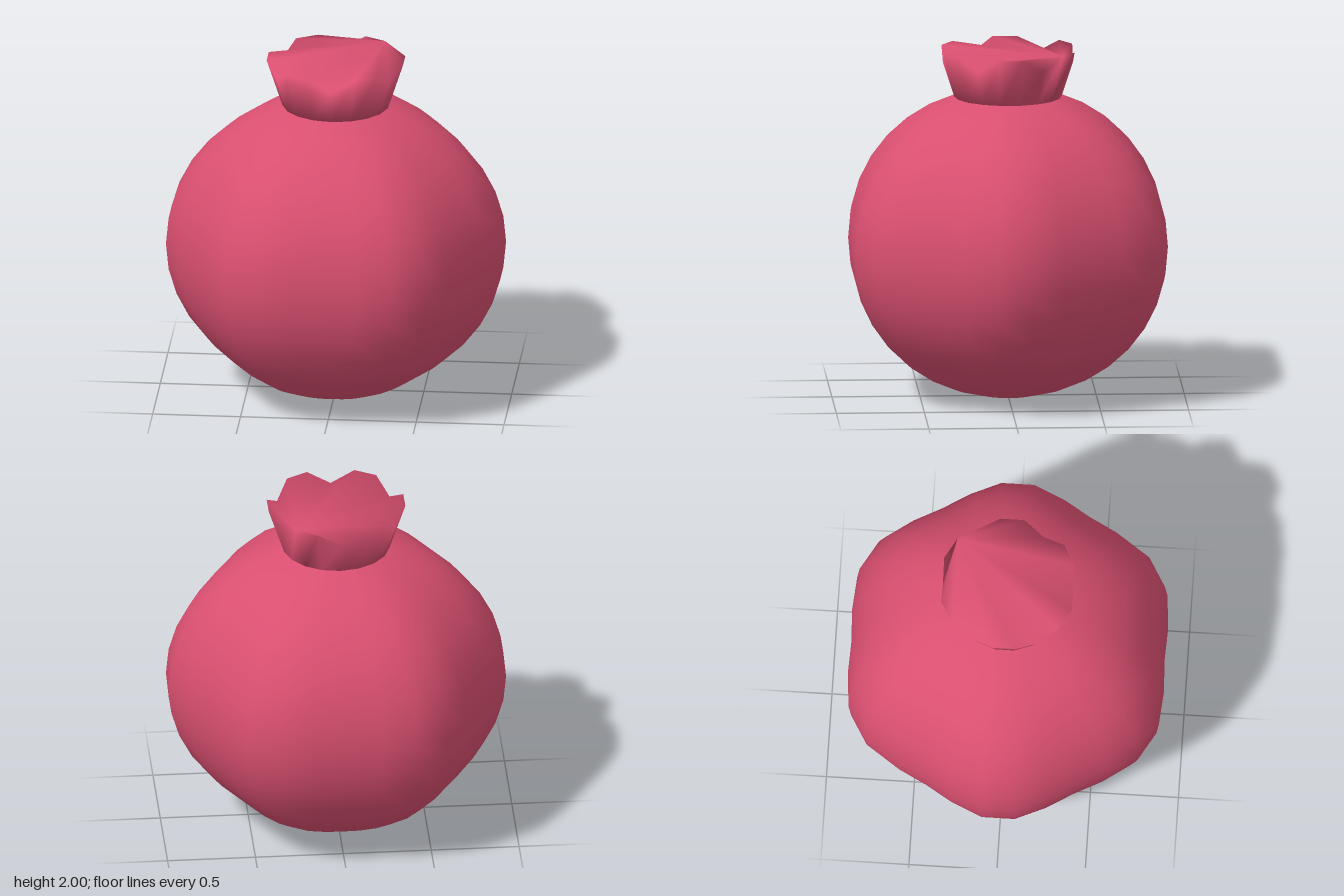
import * as THREE from 'three';
import { mergeVertices } from 'three/addons/utils/BufferGeometryUtils.js';

// Round fruit body with six soft vertical lobes that fade towards the poles
function bodyGeometry() {
  const geo = new THREE.SphereGeometry(1, 30, 18).rotateY(Math.PI / 2);
  const pos = geo.attributes.position;
  for (let i = 0; i < pos.count; i++) {
    const x = pos.getX(i), y = pos.getY(i), z = pos.getZ(i);
    const lobe = 1 + 0.0445 * Math.cos(6 * Math.atan2(z, x)) * Math.hypot(x, z);
    pos.setXYZ(i, 0.931 * x * lobe, 0.885 + 0.885 * y, 0.931 * z * lobe);
  }
  geo.deleteAttribute('uv');
  geo.deleteAttribute('normal');
  const merged = mergeVertices(geo);
  merged.computeVertexNormals();
  return merged;
}

// Flared crown: a notch at every third rim point, closed by a fan from one tip
function crownGeometry() {
  const n = 18, baseY = 1.727, baseR = 0.305, topR = 0.395, start = -50;
  const points = [], index = [];
  for (let i = 0; i < n; i++) {
    const deg = start + i * 20;
    const a = THREE.MathUtils.degToRad(deg);
    const notch = (deg + 360) % 60 === 30;
    const t = notch ? 0.72 : 1;
    const r = baseR + (topR - baseR) * t;
    points.push(baseR * Math.cos(a), baseY, baseR * Math.sin(a));
    points.push(r * Math.cos(a), baseY + (2 - baseY) * t, r * Math.sin(a));
  }
  for (let i = 0; i < n; i++) {
    const b = 2 * i, c = 2 * ((i + 1) % n);
    index.push(b, b + 1, c, b + 1, c + 1, c);
    if (i > 0 && i < n - 1) index.push(1, c + 1, b + 1, 0, b, c);
  }
  const geo = new THREE.BufferGeometry();
  geo.setAttribute('position', new THREE.Float32BufferAttribute(points, 3));
  geo.setIndex(index);
  geo.computeVertexNormals();
  return geo;
}

export function createModel() {
  const skin = new THREE.MeshStandardMaterial({ color: 0xd94f70 });
  skin.name = 'rose red skin';

  const group = new THREE.Group();
  group.name = 'fruit';

  const body = new THREE.Mesh(bodyGeometry(), skin);
  body.name = 'body';
  const crown = new THREE.Mesh(crownGeometry(), skin);
  crown.name = 'crown';

  group.add(body, crown);
  return group;
}
